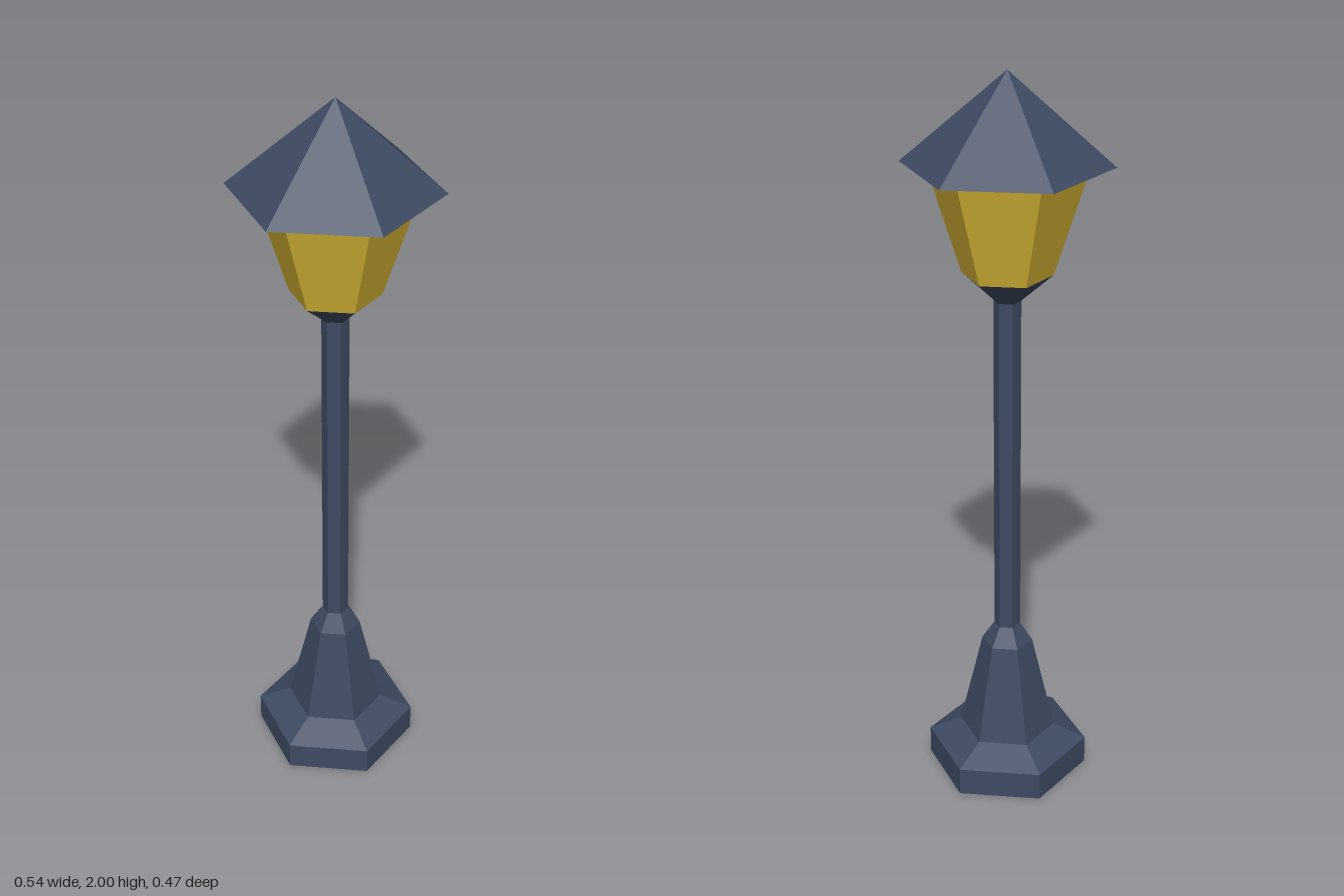
import * as THREE from 'three';

const SIDES = 6;

function makeMaterial(name, color) {
  const m = new THREE.MeshStandardMaterial({ color, flatShading: true, side: THREE.DoubleSide });
  m.name = name;
  return m;
}

// Six-sided shell around the y axis, corners on +x and -x; profile is [radius, height]
function hexShell(name, profile, material) {
  const points = profile.map(([r, y]) => new THREE.Vector2(r, y));
  const mesh = new THREE.Mesh(new THREE.LatheGeometry(points, SIDES, Math.PI / 2), material);
  mesh.name = name;
  return mesh;
}

export function createModel() {
  const iron = makeMaterial('dark blue iron', 0x3e4a62);
  const glass = makeMaterial('amber glass', 0xd6b434);

  const lamp = new THREE.Group();
  lamp.name = 'streetLamp';
  lamp.add(
    // Hollow foot, open underneath, with a sloped shoulder
    hexShell('foot', [[0.224, 0], [0.224, 0.08], [0.134, 0.123]], iron),
    // Tapered pedestal closing in on the post
    hexShell('pedestal', [[0.134, 0.123], [0.07, 0.4], [0.036, 0.452]], iron),
    hexShell('post', [[0.036, 0.452], [0.036, 1.41]], iron),
    // Flared cup that carries the lantern
    hexShell('lanternCup', [[0.036, 1.41], [0.118, 1.482]], iron),
    hexShell('lanternGlass', [[0.118, 1.482], [0.207, 1.766]], glass),
    // Pointed roof with a flat eave underneath
    hexShell('roof', [[0.207, 1.766], [0.271, 1.766], [0, 2]], iron)
  );
  return lamp;
}
